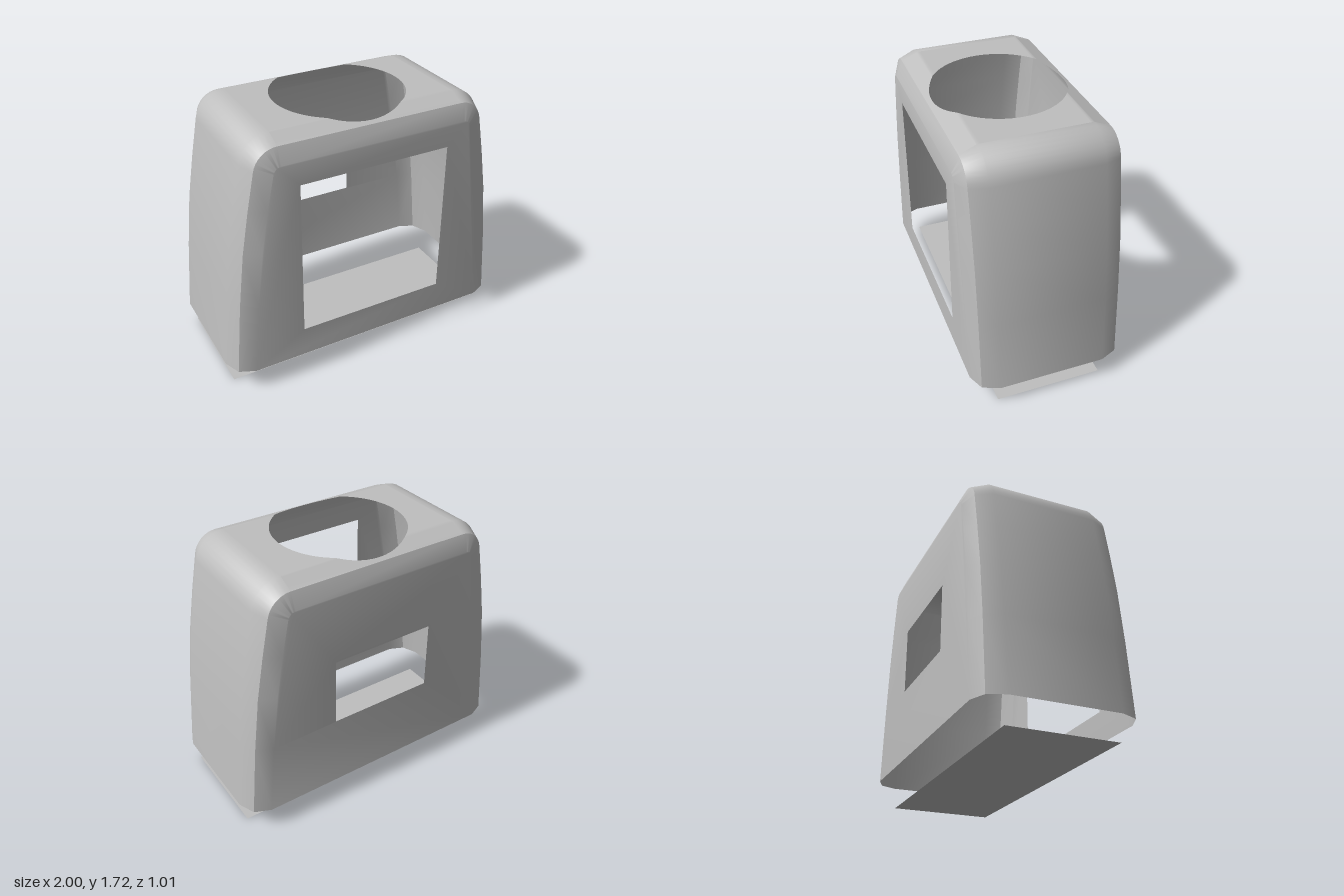
import * as THREE from 'three';
import { mergeGeometries, toCreasedNormals } from 'three/addons/utils/BufferGeometryUtils.js';

const BOTTOM = 0.155, TOP = 1.72;
const CORNER_X = 0.62, CORNER_R = 0.2;   // centre and radius of the rounded top corners
const HOLE_R = 0.43;                     // round opening in the top

// Cross-sections along z: [z, inward offset of the outline]
const SECTIONS = [[-0.505, 0.15], [-0.46, 0.045], [-0.35, 0], [0.35, 0], [0.46, 0.045], [0.505, 0.15]];

// Tapered outline moved inward by d, from bottom right over the top to bottom left
function outline(d) {
  const right = [[1, BOTTOM], [0.957, 0.65], [0.914, 1.02], [0.866, 1.3]].map(([x, y]) => [x - d, y]);
  for (let i = 0; i <= 8; i++) {
    const a = THREE.MathUtils.degToRad(10 + 10 * i);
    right.push([CORNER_X + (CORNER_R - d) * Math.cos(a), TOP - CORNER_R + (CORNER_R - d) * Math.sin(a)]);
  }
  return [...right, ...right.map(([x, y]) => [-x, y]).reverse()];
}

function geometryFromQuads(quads) {
  const pos = quads.flatMap(([a, b, c, d]) => [...a, ...b, ...c, ...a, ...c, ...d]);
  return new THREE.BufferGeometry().setAttribute('position', new THREE.Float32BufferAttribute(pos, 3));
}

// Sides, rounded corners and bevels
function wrapGeometry() {
  const rings = SECTIONS.map(([z, d]) => outline(d).map(([x, y]) => [x, y, z]));
  const quads = [];
  const middle = rings[0].length / 2 - 1;
  for (let k = 0; k < rings.length - 1; k++) {
    for (let i = 0; i < rings[k].length - 1; i++) {
      if (i === middle && k > 0 && k < 4) continue; // left to the top panel
      quads.push([rings[k][i], rings[k][i + 1], rings[k + 1][i + 1], rings[k + 1][i]]);
    }
  }
  return geometryFromQuads(quads);
}

// Top panel with the round opening, sloping down near its front and back edges
function topGeometry() {
  const zs = [-0.46, -0.35, 0.35, 0.46];
  for (let i = 0; i <= 32; i++) zs.push(HOLE_R * Math.sin(Math.PI * (i / 32 - 0.5)));
  zs.sort((a, b) => a - b);
  const height = z => TOP - 0.045 * Math.max(0, Math.abs(z) - 0.35) / 0.11;
  const inner = z => Math.sqrt(Math.max(0, HOLE_R * HOLE_R - z * z));
  const quads = [];
  for (let i = 0; i < zs.length - 1; i++) {
    const [z0, z1] = [zs[i], zs[i + 1]];
    const quad = [
      [inner(z0), height(z0), z0], [inner(z1), height(z1), z1],
      [CORNER_X, height(z1), z1], [CORNER_X, height(z0), z0],
    ];
    quads.push(quad, quad.map(([x, y, z]) => [-x, y, z]).reverse());
  }
  return geometryFromQuads(quads);
}

// Flat wall with a rectangular window
function wallGeometry(halfWidth, y0, y1) {
  const shape = new THREE.Shape(outline(0.15).map(p => new THREE.Vector2(...p)));
  shape.holes.push(new THREE.Path([
    new THREE.Vector2(-halfWidth, y0), new THREE.Vector2(-halfWidth, y1),
    new THREE.Vector2(halfWidth, y1), new THREE.Vector2(halfWidth, y0),
  ]));
  const geo = new THREE.ShapeGeometry(shape).toNonIndexed();
  geo.deleteAttribute('uv');
  geo.deleteAttribute('normal');
  return geo.translate(0, 0, 0.505);
}

export function createModel() {
  const model = new THREE.Group();
  model.name = 'openHousing';
  const grey = new THREE.MeshStandardMaterial({ color: 0xbfbfbf, side: THREE.DoubleSide });
  grey.name = 'grey';

  // Thin open shell: front window large, back window small
  const shellGeometry = toCreasedNormals(mergeGeometries([
    wrapGeometry(),
    topGeometry(),
    wallGeometry(0.507, 0.36, 1.42),
    wallGeometry(0.355, 0.657, 1.115).rotateY(Math.PI),
  ]), THREE.MathUtils.degToRad(35));
  const shell = new THREE.Mesh(shellGeometry, grey);
  shell.name = 'shell';

  // Floor plate floating below the open bottom
  const plate = new THREE.Mesh(new THREE.PlaneGeometry(1.91, 0.706).rotateX(-Math.PI / 2), grey);
  plate.name = 'floorPlate';

  model.add(shell, plate);
  return model;
}
